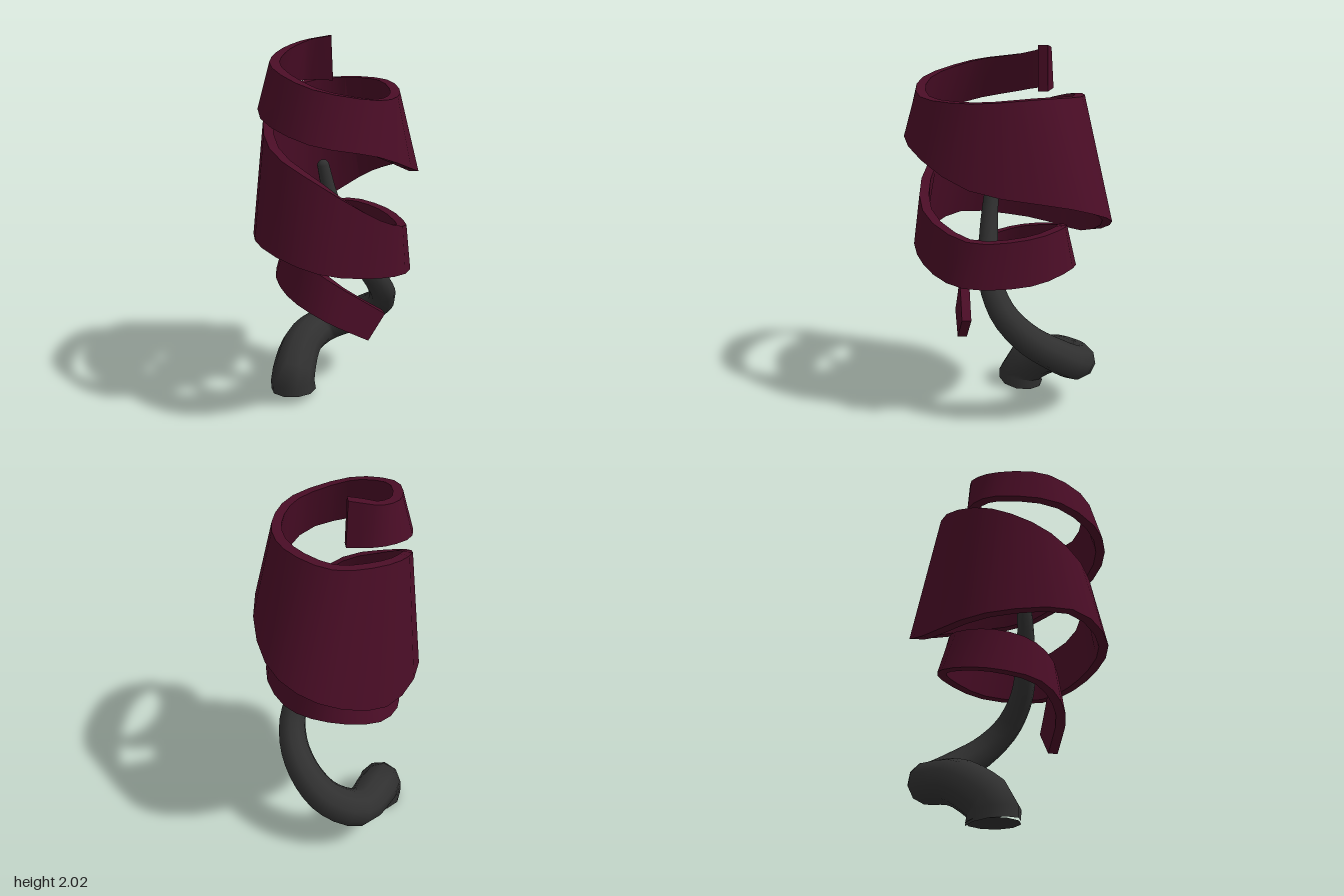
import * as THREE from 'three';
import { toCreasedNormals } from 'three/addons/utils/BufferGeometryUtils.js';

const ribbonRed = new THREE.MeshStandardMaterial({ color: 0x4a0d26 });
ribbonRed.name = 'dark wine red';
const stemGrey = new THREE.MeshStandardMaterial({ color: 0x303030 });
stemGrey.name = 'charcoal grey';

const curveOf = (pts) =>
  new THREE.CatmullRomCurve3(pts.map((p) => new THREE.Vector3(...p)), false, 'catmullrom', 0.5);

// Upper and lower outer edges of the ribbon, from its top end down, eight stations per turn
const UPPER = [
  [0.08, 2.0, -0.2], [-0.06, 1.97, -0.28], [-0.25, 1.93, -0.2], [-0.4, 1.89, 0.03],
  [-0.35, 1.82, 0.32], [-0.06, 1.76, 0.43], [0.19, 1.75, 0.26], [0.32, 1.77, -0.03],
  [0.25, 1.76, -0.31], [0, 1.74, -0.4], [-0.28, 1.65, -0.26], [-0.42, 1.5, 0.02],
  [-0.31, 1.36, 0.32], [-0.05, 1.18, 0.44], [0.22, 1.07, 0.3], [0.31, 1.07, 0],
  [0.22, 1.08, -0.25], [0, 1.03, -0.32], [-0.21, 0.98, -0.2], [-0.28, 0.92, 0],
  [-0.19, 0.81, 0.18], [0.1, 0.59, 0.29],
];
const LOWER = [
  [0.09, 1.77, -0.2], [-0.06, 1.77, -0.3], [-0.29, 1.73, -0.24], [-0.48, 1.66, 0.05],
  [-0.4, 1.58, 0.36], [-0.1, 1.51, 0.49], [0.28, 1.35, 0.31], [0.52, 1.27, -0.13],
  [0.42, 1.15, -0.41], [0.05, 0.99, -0.485], [-0.33, 0.99, -0.31], [-0.51, 1.02, 0.08],
  [-0.37, 0.95, 0.38], [-0.05, 0.88, 0.445], [0.23, 0.83, 0.33], [0.34, 0.83, 0],
  [0.26, 0.86, -0.28], [0, 0.8, -0.39], [-0.25, 0.74, -0.26], [-0.33, 0.69, 0],
  [-0.22, 0.59, 0.2], [0, 0.455, 0.28],
];

// Spiral band with a four-cornered section, wide in the middle and narrow at the ends
function ribbonGeometry(thickness, steps) {
  const upper = curveOf(UPPER), lower = curveOf(LOWER);
  const sections = [];
  for (let i = 0; i <= steps; i++) {
    const u = i / steps;
    const a = upper.getPoint(u), d = lower.getPoint(u);
    const t = upper.getTangent(u).add(lower.getTangent(u));
    const inward = new THREE.Vector3(t.z, 0, -t.x).setLength(thickness);
    sections.push([a, a.clone().add(inward), d.clone().add(inward), d]);
  }
  const pos = [];
  const quad = (a, b, c, d) => [a, b, c, a, c, d].forEach((p) => pos.push(p.x, p.y, p.z));
  for (let i = 0; i < steps; i++) {
    const s = sections[i], n = sections[i + 1];
    for (let j = 0; j < 4; j++) {
      const k = (j + 1) % 4;
      quad(s[j], n[j], n[k], s[k]);
    }
  }
  quad(...sections[0]);
  quad(...[...sections[steps]].reverse());
  const g = new THREE.BufferGeometry();
  g.setAttribute('position', new THREE.Float32BufferAttribute(pos, 3));
  return toCreasedNormals(g, 0.6);
}

// Tube that narrows steadily along its path
function taperedTube(curve, segments, sides, r0, r1) {
  const g = new THREE.TubeGeometry(curve, segments, 1, sides);
  const p = g.attributes.position, v = new THREE.Vector3();
  for (let i = 0; i <= segments; i++) {
    const c = curve.getPointAt(i / segments);
    const r = r0 + (r1 - r0) * (i / segments);
    for (let j = 0; j <= sides; j++) {
      const k = i * (sides + 1) + j;
      v.fromBufferAttribute(p, k).sub(c).multiplyScalar(r).add(c);
      p.setXYZ(k, v.x, v.y, v.z);
    }
  }
  return g;
}

export function createModel() {
  const model = new THREE.Group();
  const add = (name, geometry, material) => {
    const mesh = new THREE.Mesh(geometry, material);
    mesh.name = name;
    model.add(mesh);
    return mesh;
  };

  add('spiralRibbon', ribbonGeometry(0.05, 63), ribbonRed);

  // Twisting stem
  const path = curveOf([
    [-0.195, 0, -0.19], [-0.19, 0.09, -0.2], [-0.06, 0.21, -0.31], [0.13, 0.245, -0.385],
    [0.26, 0.31, -0.29], [0.305, 0.4, -0.16], [0.29, 0.5, -0.02], [0.235, 0.61, 0.08],
    [0.165, 0.71, 0.12], [0.08, 0.83, 0.125], [-0.02, 1.03, 0.085], [-0.08, 1.2, 0.045],
    [-0.105, 1.37, 0.01],
  ]);
  add('stem', taperedTube(path, 36, 10, 0.13, 0.032), stemGrey);
  add('stemTip', new THREE.SphereGeometry(0.032, 10, 6), stemGrey).position.copy(path.getPoint(1));
  const base = add('stemBase', new THREE.CircleGeometry(0.13, 10), stemGrey);
  base.position.set(-0.195, 0.002, -0.19);
  base.rotation.x = Math.PI / 2;

  return model;
}
